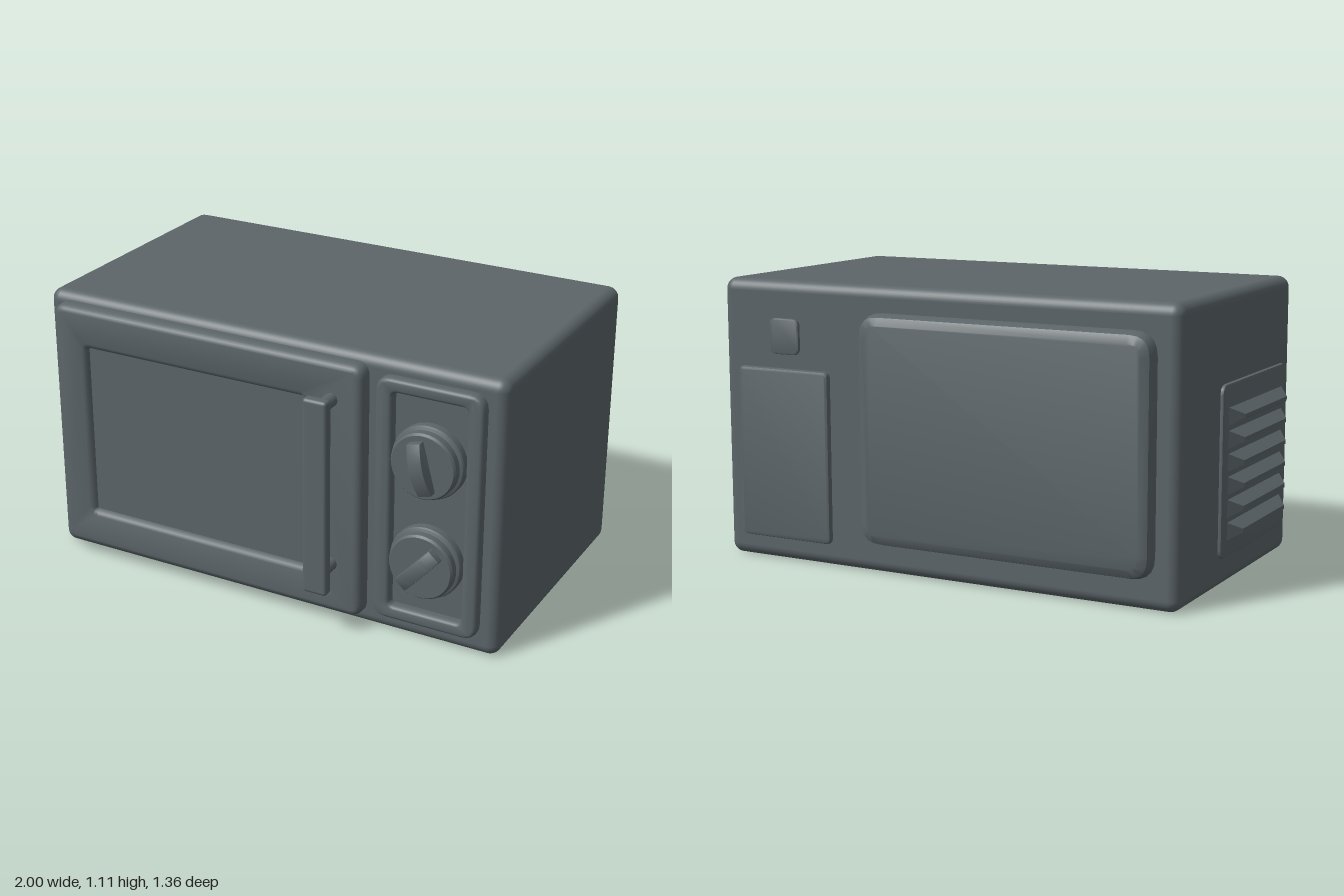
import * as THREE from 'three';
import { RoundedBoxGeometry } from 'three/addons/geometries/RoundedBoxGeometry.js';
import { toCreasedNormals } from 'three/addons/utils/BufferGeometryUtils.js';

const slate = new THREE.MeshStandardMaterial({ color: 0x5c6569 });
slate.name = 'slateGrey';

// Rounded rectangle outline, used for shapes and for holes
function roundRect(path, x0, x1, y0, y1, r) {
  path.moveTo(x0 + r, y0);
  path.lineTo(x1 - r, y0);
  path.quadraticCurveTo(x1, y0, x1, y0 + r);
  path.lineTo(x1, y1 - r);
  path.quadraticCurveTo(x1, y1, x1 - r, y1);
  path.lineTo(x0 + r, y1);
  path.quadraticCurveTo(x0, y1, x0, y1 - r);
  path.lineTo(x0, y0 + r);
  path.quadraticCurveTo(x0, y0, x0 + r, y0);
  return path;
}

// Plate standing on z = 0, front at z = height, front edge bevelled inwards.
// Its back is sunk below z = 0 so that only the front bevel shows.
function plate(rect, radius, height, inset, bevel, segments = 3, hole = null, holeRadius = 0) {
  const shape = roundRect(new THREE.Shape(), ...rect, radius);
  if (hole) shape.holes.push(roundRect(new THREE.Path(), ...hole, holeRadius));
  const geometry = new THREE.ExtrudeGeometry(shape, {
    depth: height - bevel + 0.005, curveSegments: 5, bevelEnabled: true,
    bevelSize: inset, bevelOffset: -inset, bevelThickness: bevel, bevelSegments: segments,
  });
  geometry.translate(0, 0, -0.005);
  return toCreasedNormals(geometry, 0.6);
}

function add(parent, name, geometry, x = 0, y = 0, z = 0) {
  const mesh = new THREE.Mesh(geometry, slate);
  mesh.name = name;
  mesh.position.set(x, y, z);
  parent.add(mesh);
  return mesh;
}

function group(parent, name) {
  const g = new THREE.Group();
  g.name = name;
  parent.add(g);
  return g;
}

// Turning knob with a flange, a round base and a slanting curved grip
function knob(parent, name, y, angle) {
  const g = group(parent, name);
  g.position.set(0.717, y, 0.49);
  const profile = [[0, 0], [0.143, 0], [0.143, 0.03], [0.139, 0.036], [0.129, 0.04],
    [0.129, 0.068], [0.122, 0.077], [0, 0.077]].map(p => new THREE.Vector2(...p));
  const dial = new THREE.LatheGeometry(profile, 40).rotateX(Math.PI / 2);
  add(g, 'dial', toCreasedNormals(dial, 0.5));

  const side = new THREE.Shape();
  side.moveTo(-0.1, 0.06);
  side.lineTo(0.1, 0.06);
  side.lineTo(0.1, 0.105);
  side.quadraticCurveTo(0, 0.155, -0.1, 0.105);
  const grip = new THREE.ExtrudeGeometry(side, {
    depth: 0.048, bevelEnabled: true, bevelSize: 0.004, bevelOffset: -0.004,
    bevelThickness: 0.004, bevelSegments: 2, curveSegments: 12,
  });
  grip.translate(0, 0, -0.024);
  grip.rotateY(-Math.PI / 2).rotateZ(Math.PI / 2);
  // Length now runs along y or x; lay it along y with its arch facing +z
  grip.computeBoundingBox();
  const gripGeometry = orientGrip(grip);
  add(g, 'grip', toCreasedNormals(gripGeometry, 0.5)).rotation.z = angle;
}

// Cyclic axis turns bring the long axis onto y and the arch onto +z
function orientGrip(geometry) {
  const turn = new THREE.Matrix4().makeBasis(
    new THREE.Vector3(0, 1, 0), new THREE.Vector3(0, 0, 1), new THREE.Vector3(1, 0, 0));
  const undo = new THREE.Matrix4().makeRotationY(Math.PI / 2)
    .multiply(new THREE.Matrix4().makeRotationZ(-Math.PI / 2));
  return geometry.applyMatrix4(undo).applyMatrix4(turn);
}

// Louvre: box whose outer face is pinched to a narrow lip
function louvre() {
  const geometry = new THREE.BoxGeometry(0.57, 0.076, 0.05).toNonIndexed();
  const p = geometry.attributes.position;
  for (let i = 0; i < p.count; i++) {
    if (p.getZ(i) > 0) p.setXY(i, p.getX(i) * 0.78, p.getY(i) * 0.2 - 0.003);
  }
  geometry.computeVertexNormals();
  return geometry;
}

export function createModel() {
  const model = new THREE.Group();
  model.name = 'microwaveOven';

  // Housing
  add(model, 'housing', new RoundedBoxGeometry(1.943, 1.105, 1.11, 5, 0.045), 0.0285, 0.5525, -0.065);

  // Door with its sunken window
  const door = group(model, 'door');
  add(door, 'doorFrame', plate([-0.885, 0.465, 0.05, 1.075], 0.05, 0.06, 0.025, 0.035, 3,
    [-0.735, 0.22, 0.215, 0.91], 0.01), 0, 0, 0.49);
  add(door, 'windowPane', new THREE.BoxGeometry(1.02, 0.76, 0.02), -0.2575, 0.5625, 0.514);

  // Door handle on two posts
  const handle = group(model, 'handle');
  add(handle, 'handleBar', new RoundedBoxGeometry(0.1, 0.785, 0.045, 3, 0.014), 0.34, 0.5825, 0.6575);
  for (const y of [0.26, 0.93]) {
    const post = new THREE.CylinderGeometry(0.026, 0.026, 0.11, 20).rotateX(Math.PI / 2);
    add(handle, 'handlePost', post, 0.341, y, 0.592);
  }

  // Control panel: raised surround and two knobs
  const controls = group(model, 'controlPanel');
  add(controls, 'panelSurround', plate([0.505, 0.93, 0.075, 1.05], 0.06, 0.04, 0.014, 0.02, 3,
    [0.572, 0.866, 0.132, 0.996], 0.02), 0, 0, 0.49);
  knob(controls, 'upperKnob', 0.753, 0.26);
  knob(controls, 'lowerKnob', 0.348, -0.73);

  // Rear covers, laid out in a frame turned to face -z (so x is mirrored)
  const rear = group(model, 'rearCovers');
  rear.position.z = -0.62;
  rear.rotation.y = Math.PI;
  add(rear, 'largeRearCover', plate([-0.355, 0.855, 0.115, 1.005], 0.09, 0.06, 0.042, 0.055, 2));
  add(rear, 'smallRearCover', plate([-0.92, -0.505, 0.09, 0.765], 0.025, 0.022, 0.012, 0.012, 2));
  add(rear, 'cableCover', plate([-0.775, -0.64, 0.82, 0.96], 0.03, 0.012, 0.005, 0.006, 2));

  // Side vent, in a frame turned to face -x (its x runs along world z)
  const vent = group(model, 'sideVent');
  vent.position.x = -0.943;
  vent.rotation.y = -Math.PI / 2;
  add(vent, 'ventPlate', plate([-0.25, 0.41, 0.115, 0.77], 0.04, 0.014, 0.008, 0.01, 2));
  for (let i = 0; i < 6; i++) {
    add(vent, 'louvre', louvre(), 0.08, 0.216 + i * 0.0865, 0.032);
  }

  return model;
}
